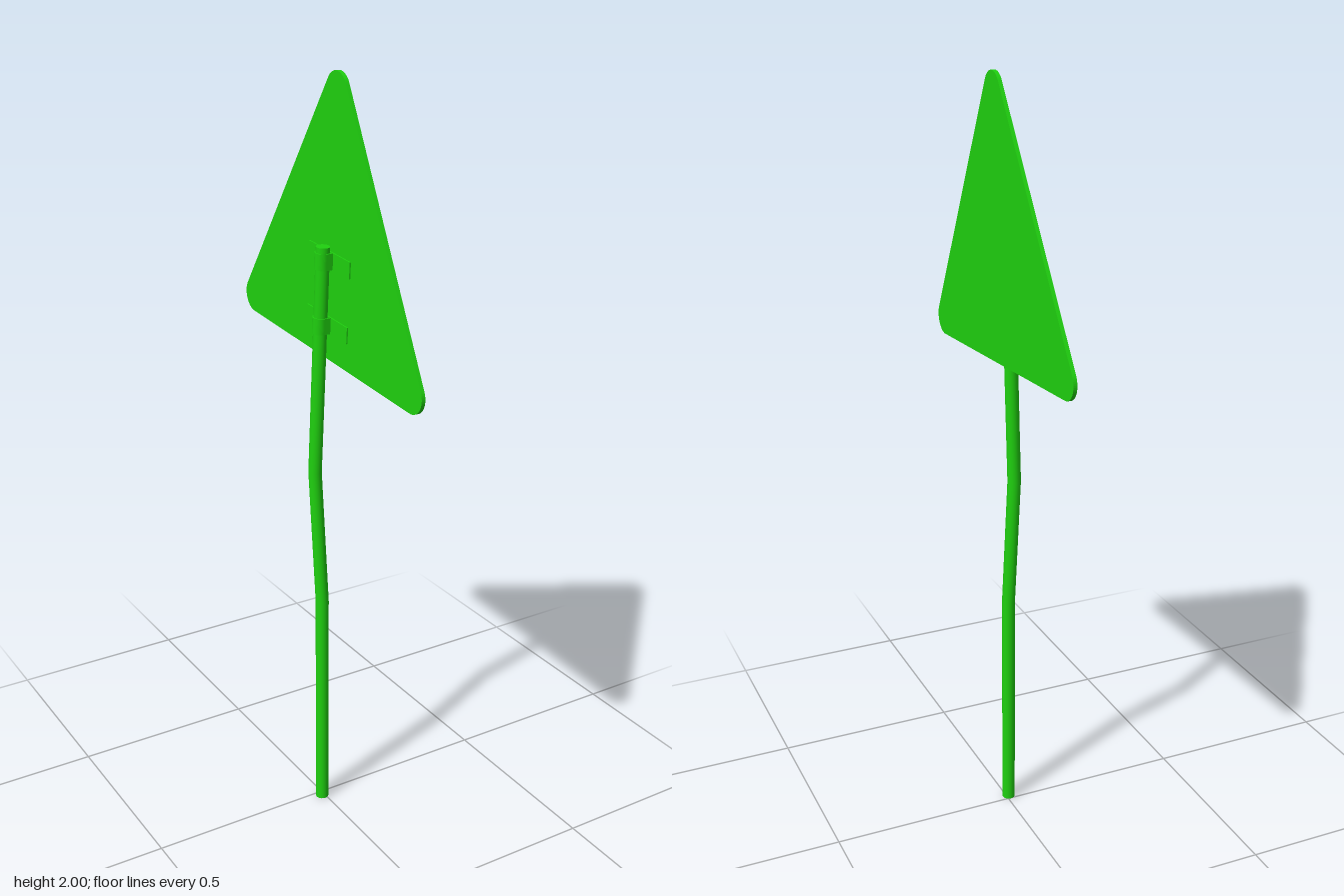
import * as THREE from 'three';

const TILT = 0.065;      // lean of the upper pole and the sign, about x
const POLE_X = -0.007;
const POLE_R = 0.0175;

const green = new THREE.MeshStandardMaterial({ color: 0x1fd00f });

function add(parent, name, geometry) {
  const mesh = new THREE.Mesh(geometry, green);
  mesh.name = name;
  parent.add(mesh);
  return mesh;
}

// Pole bent at two joints: each ring of a cylinder moves to a station [y, z]
function poleGeometry() {
  const stations = [[0, 0.015], [0.62, 0.015], [0.98, -0.021], [1.585, 0.018]];
  const geo = new THREE.CylinderGeometry(POLE_R, POLE_R, 3, 20, 3);
  const p = geo.attributes.position;
  for (let i = 0; i < p.count; i++) {
    const [y, z] = stations[Math.round(p.getY(i) + 1.5)];
    const lean = y > 1.5 ? -TILT * p.getZ(i) : 0;
    p.setXYZ(i, p.getX(i) + POLE_X, y + lean, p.getZ(i) + z);
  }
  return geo;
}

// Triangular plate with rounded corners, drawn in (-z, y) and turned to face +x
function plateGeometry() {
  const r = 0.045, depth = 0.01;
  const corners = [[-0.373, 1.312], [0.371, 1.363], [-0.043, 1.955]]
    .map(([x, y]) => new THREE.Vector2(x, y));
  const shape = new THREE.Shape();
  corners.forEach((c, i) => {
    const before = c.clone().sub(corners[(i + 2) % 3]).angle() - Math.PI / 2;
    const after = corners[(i + 1) % 3].clone().sub(c).angle() - Math.PI / 2;
    shape.absarc(c.x, c.y, r, before, after, false);
  });
  shape.closePath();
  const geo = new THREE.ExtrudeGeometry(shape, { depth, bevelEnabled: false, curveSegments: 10 });
  return geo.rotateY(Math.PI / 2).translate(0.014, 0, 0);
}

// U-shaped strap that wraps the back of the pole and reaches the plate
function strapGeometry(height) {
  const outer = POLE_R + 0.0025, inner = POLE_R - 0.001, reach = 0.019;
  const s = new THREE.Shape();
  s.moveTo(reach, outer);
  s.absarc(0, 0, outer, Math.PI / 2, Math.PI * 1.5, false);
  s.lineTo(reach, -outer);
  s.lineTo(reach, -inner);
  s.absarc(0, 0, inner, Math.PI * 1.5, Math.PI / 2, true);
  s.lineTo(reach, inner);
  s.closePath();
  const geo = new THREE.ExtrudeGeometry(s, { depth: height, bevelEnabled: false, curveSegments: 12 });
  return geo.rotateX(-Math.PI / 2).translate(POLE_X, -height / 2, 0);
}

export function createModel() {
  const model = new THREE.Group();
  model.name = 'bentRoadSign';

  add(model, 'pole', poleGeometry());
  add(model, 'signPlate', plateGeometry());

  // Two clamps holding the plate to the pole
  for (const [name, y, z] of [['upperClamp', 1.55, 0.0155], ['lowerClamp', 1.385, 0.005]]) {
    const clamp = new THREE.Group();
    clamp.name = name;
    clamp.position.set(0, y, z);
    clamp.rotation.x = TILT;
    add(clamp, name + 'Strap', strapGeometry(0.042));
    add(clamp, name + 'Bar', new THREE.BoxGeometry(0.004, 0.042, 0.19)).position.x = 0.0125;
    model.add(clamp);
  }
  return model;
}
